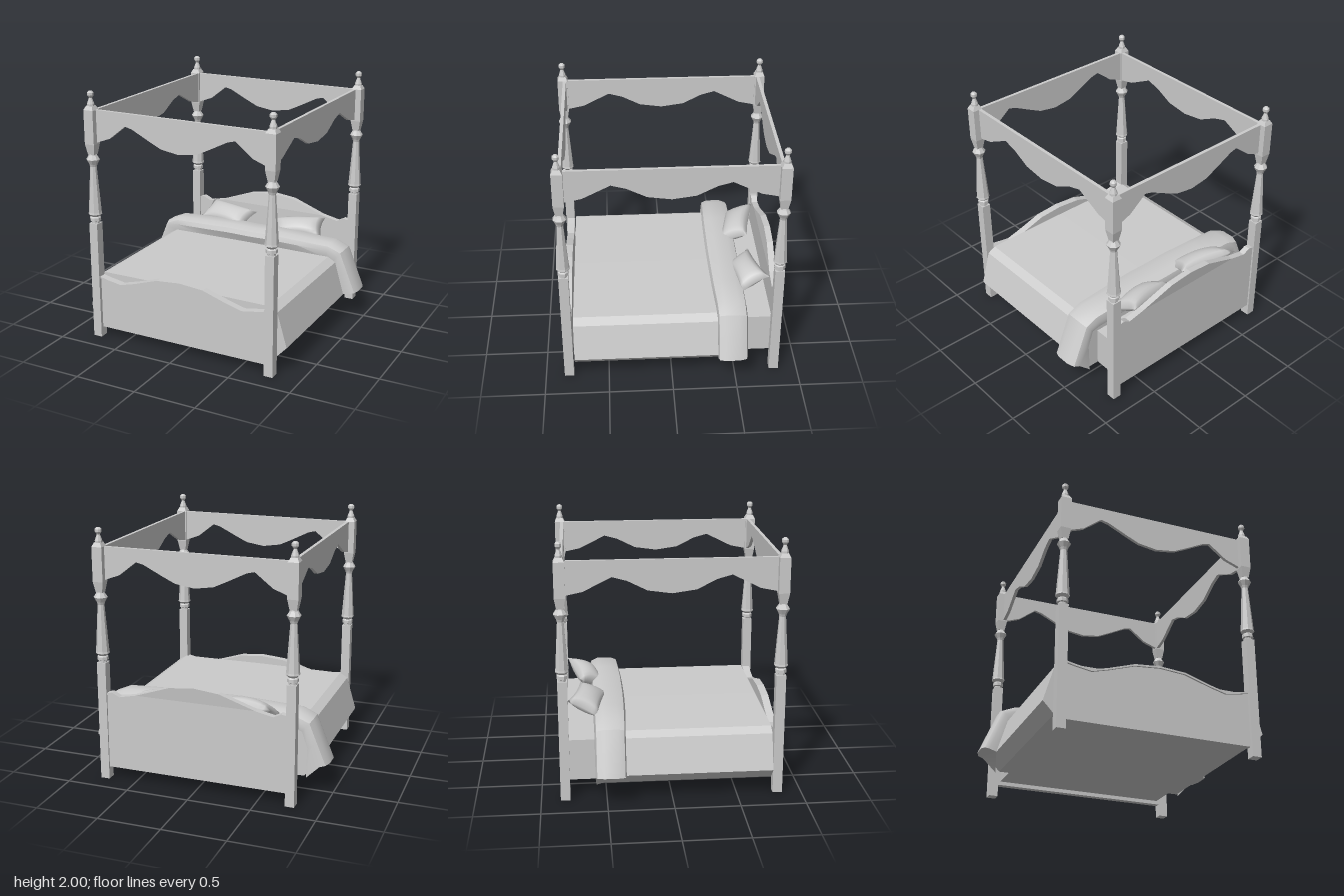
import * as THREE from 'three';
import { mergeVertices, toCreasedNormals } from 'three/addons/utils/BufferGeometryUtils.js';

const flat = new THREE.MeshStandardMaterial({ color: 0xcccccc, flatShading: true });
const smooth = new THREE.MeshStandardMaterial({ color: 0xcccccc });

// Half profile (from the outer end to the middle) mirrored to a full one, running from -x to +x
const mirrored = (half) => [
  ...half.map(([x, y]) => [-x, y]),
  ...half.slice().reverse().filter(([x]) => x > 0),
];

// Upright board from an outline, centred on its own thickness
function board(points, thickness) {
  const shape = new THREE.Shape(points.map(([x, y]) => new THREE.Vector2(x, y)));
  return new THREE.ExtrudeGeometry(shape, { depth: thickness, bevelEnabled: false })
    .translate(0, 0, -thickness / 2);
}

// Closed skin over rings of [x, y, z] points that advance along +x
function loft(rings) {
  const n = rings[0].length, last = (rings.length - 1) * n, index = [];
  for (let i = 0; i < rings.length - 1; i++) {
    for (let k = 0; k < n; k++) {
      const a = i * n + k, b = i * n + (k + 1) % n;
      index.push(a, a + n, b, b, a + n, b + n);
    }
  }
  for (let k = 1; k < n - 1; k++) index.push(0, k, k + 1, last, last + k + 1, last + k);
  const g = new THREE.BufferGeometry();
  g.setAttribute('position', new THREE.Float32BufferAttribute(rings.flat(2), 3));
  g.setIndex(index);
  g.computeVertexNormals();
  return g;
}

function turned(profile, sides) {
  const r = 1 / Math.cos(Math.PI / sides);
  return new THREE.LatheGeometry(profile.map(([x, y]) => new THREE.Vector2(x * r, y)), sides, Math.PI / sides);
}

// Pillow puffed between four corners: back left, back right, front left, front right in x order
function pillow(c, puff) {
  const g = new THREE.BoxGeometry(2, 2, 2, 10, 1, 10);
  const [a, b, d, e] = c.map((p) => new THREE.Vector3(...p));
  const up = e.clone().sub(a).cross(b.clone().sub(d)).normalize();
  const p = g.attributes.position;
  for (let i = 0; i < p.count; i++) {
    const x = p.getX(i), y = p.getY(i), z = p.getZ(i);
    const s = x * (1 - 0.1 * (1 - z * z)), t = z * (1 - 0.12 * (1 - x * x));
    const back = a.clone().lerp(b, (s + 1) / 2), front = d.clone().lerp(e, (s + 1) / 2);
    const v = back.lerp(front, (t + 1) / 2)
      .addScaledVector(up, y * puff * Math.sqrt((1 - x * x) * (1 - z * z)));
    p.setXYZ(i, v.x, v.y, v.z);
  }
  g.deleteAttribute('uv');
  g.deleteAttribute('normal');
  const m = mergeVertices(g, 1e-4);
  m.computeVertexNormals();
  return m;
}

export function createModel() {
  const model = new THREE.Group();
  const add = (name, geometry, material = flat, parent = model) => {
    const mesh = new THREE.Mesh(geometry, material);
    mesh.name = name;
    parent.add(mesh);
    return mesh;
  };

  // Four posts: square leg, turned shaft, square block and finial
  const leg = new THREE.BoxGeometry(0.072, 0.955, 0.074).translate(0, 0.4775, 0);
  const shaft = turned([
    [0, 0.95], [0.03, 0.955], [0.03, 0.97], [0.04, 0.975], [0.04, 1.0], [0.032, 1.01],
    [0.05, 1.03], [0.047, 1.045], [0.024, 1.41], [0.03, 1.43], [0.049, 1.468],
    [0.03, 1.5], [0.026, 1.51], [0.026, 1.53],
  ], 8);
  const block = turned([[0, 1.5], [0.026, 1.505], [0.041, 1.59], [0.041, 1.855], [0.026, 1.885], [0, 1.885]], 4);
  const finial = turned([
    [0, 1.88], [0.026, 1.885], [0.026, 1.9], [0.011, 1.945], [0.014, 1.95],
    [0.024, 1.965], [0.024, 1.985], [0.012, 1.998], [0, 2],
  ], 8);
  for (const x of [-0.757, 0.757]) {
    for (const z of [-0.816, 0.816]) {
      const post = new THREE.Group();
      post.name = (z > 0 ? 'front' : 'back') + (x > 0 ? 'Left' : 'Right') + 'Post';
      post.position.set(x, 0, z);
      add('leg', leg, flat, post);
      add('turnedShaft', shaft, flat, post);
      add('squareBlock', block, flat, post);
      add('finial', finial, flat, post);
      model.add(post);
    }
  }

  // Scalloped canopy rails
  const endRail = board([[0.74, 1.855], [-0.74, 1.855], ...mirrored([
    [0.74, 1.595], [0.72, 1.6], [0.6, 1.645], [0.46, 1.755], [0.4, 1.74], [0.25, 1.665], [0.15, 1.618], [0, 1.595],
  ])], 0.026);
  const sideRail = board([[0.79, 1.855], [-0.79, 1.855], ...mirrored([
    [0.79, 1.595], [0.77, 1.6], [0.65, 1.625], [0.55, 1.675], [0.44, 1.73], [0.33, 1.7], [0.18, 1.625], [0, 1.6],
  ])], 0.026).rotateY(Math.PI / 2);
  for (const s of [-1, 1]) {
    add(s > 0 ? 'frontCanopyRail' : 'backCanopyRail', endRail).position.z = s * 0.8;
    add(s > 0 ? 'leftCanopyRail' : 'rightCanopyRail', sideRail).position.x = s * 0.737;
  }

  // Headboard, its raised middle leaning back slightly
  const head = board([...mirrored([
    [0.74, 0.71], [0.68, 0.72], [0.62, 0.69], [0.48, 0.72], [0.2, 0.82], [0, 0.842],
  ]), [0.74, 0.1], [-0.74, 0.1]], 0.05);
  const hp = head.attributes.position;
  for (let i = 0; i < hp.count; i++) hp.setZ(i, hp.getZ(i) - Math.max(0, hp.getY(i) - 0.72) * 0.13);
  head.computeVertexNormals();
  add('headboard', head).position.z = -0.815;

  // Footboard with a thin wavy cap
  const wave = mirrored([[0.74, 0.505], [0.65, 0.485], [0.53, 0.465], [0.4, 0.5], [0.2, 0.565], [0, 0.582]]);
  add('footboard', board([...wave, [0.74, 0.08], [-0.74, 0.08]], 0.042)).position.z = 0.805;
  const capTop = wave.map(([x, y]) => [x, y + 0.014]).reverse();
  add('footboardCap', board([...wave, ...capTop], 0.06)).position.z = 0.81;

  // Bed base and the draped blanket
  add('bedBase', new THREE.BoxGeometry(1.4, 0.325, 0.3)).position.set(0, 0.2925, -0.645);
  const blanket = board(mirrored([
    [0.78, 0.13], [0.865, 0.22], [0.785, 0.49], [0.72, 0.528], [0, 0.532],
  ]), 1.32);
  add('blanket', blanket).position.z = 0.105;

  // Turned-down cover: [outer x, outer y, inner x, inner y, drop of the back inner edge]
  const half = [
    [0.975, 0.25, 0.865, 0.222, 0.095], [0.9, 0.43, 0.81, 0.37, 0], [0.835, 0.585, 0.765, 0.5, 0],
    [0.72, 0.635, 0.7, 0.515, 0], [0.45, 0.645, 0.45, 0.52, 0], [0.2, 0.655, 0.2, 0.525, 0], [0, 0.65, 0, 0.525, 0],
  ];
  const spans = [...half.map(([a, b, c, d, e]) => [-a, b, -c, d, e]), ...half.slice(0, -1).reverse()];
  const rings = spans.map(([ox, oy, ix, iy, drop]) => {
    const middle = Math.max(0, 1 - (ox / 0.85) ** 2);
    const at = (f, z, fall = 0) => [ix + (ox - ix) * f - Math.sign(ix) * fall * 0.65, iy + (oy - iy) * f - fall, z];
    return [
      at(0, -0.36, 0), at(0.55, -0.355 + 0.025 * middle), at(0.85, -0.365 + 0.02 * middle),
      at(1, -0.41), at(1, -0.52), at(0.8, -0.575), at(0.4, -0.588), at(0, -0.58, drop),
    ];
  });
  add('turnedDownCover', toCreasedNormals(loft(rings), 0.6), smooth);

  // Two pillows leaning on the headboard
  add('rightPillow', pillow([
    [-0.57, 0.72, -0.785], [-0.08, 0.7, -0.68], [-0.61, 0.6, -0.555], [-0.125, 0.6, -0.45],
  ], 0.075), smooth);
  add('leftPillow', pillow([
    [0.04, 0.66, -0.67], [0.52, 0.71, -0.785], [0.17, 0.59, -0.49], [0.57, 0.6, -0.56],
  ], 0.075), smooth);

  return model;
}
